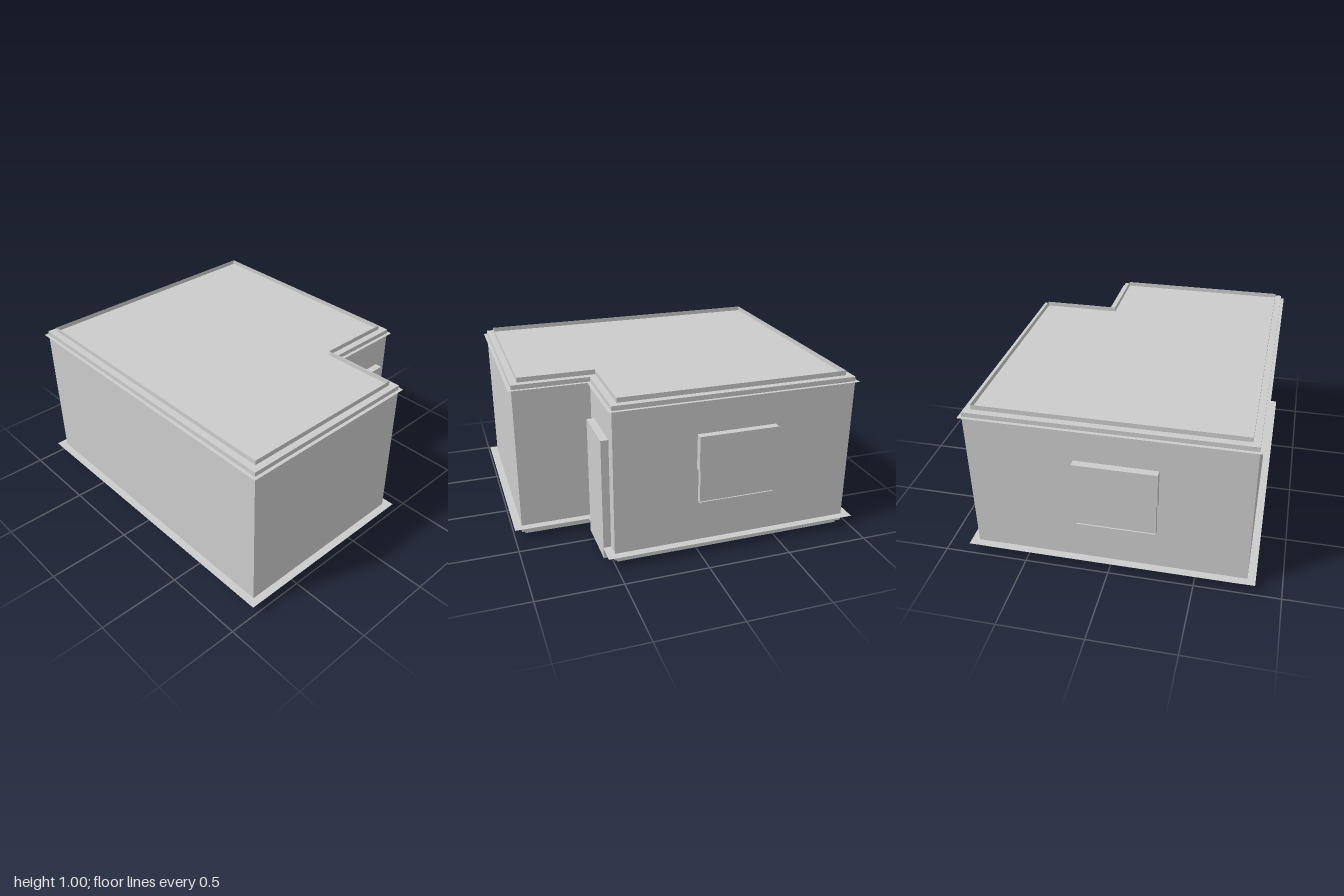
import * as THREE from 'three';

// L-shaped plan as [x, z], starting and ending beside the doorway
const W = 0.8, D = 0.953, NX = 0.33, NZ = 0.5;
const PLAN = [[NX, NZ], [NX, D], [-W, D], [-W, -D], [W, -D], [W, NZ]];
// outward direction of each corner
const OUT = [[1, 1], [1, 1], [-1, 1], [-1, -1], [1, -1], [1, 1]];
const offset = (d) => PLAN.map(([x, z], i) => [x + OUT[i][0] * d, z + OUT[i][1] * d]);

export function createModel() {
  const group = new THREE.Group();
  const plaster = new THREE.MeshStandardMaterial({ color: 0xcccccc });
  plaster.name = 'plaster';
  const plasterThin = plaster;
  plasterThin.side = THREE.DoubleSide;

  const add = (name, geometry, parent = group) => {
    const mesh = new THREE.Mesh(geometry, plaster);
    mesh.name = name;
    parent.add(mesh);
    return mesh;
  };

  // solid slab following the plan between two heights
  const slab = (name, d, y0, y1) => {
    const shape = new THREE.Shape(offset(d).map(([x, z]) => new THREE.Vector2(x, -z)));
    const g = new THREE.ExtrudeGeometry(shape, { depth: y1 - y0, bevelEnabled: false });
    g.rotateX(-Math.PI / 2);
    g.translate(0, y0, 0);
    return add(name, g);
  };

  // open strip joining two outlines
  const strip = (name, a, ya, b, yb, material = plaster) => {
    const pos = [];
    for (let i = 0; i < a.length - 1; i++) {
      const p = [a[i][0], ya, a[i][1]], q = [a[i + 1][0], ya, a[i + 1][1]];
      const r = [b[i + 1][0], yb, b[i + 1][1]], s = [b[i][0], yb, b[i][1]];
      pos.push(...p, ...r, ...q, ...p, ...s, ...r);
    }
    const g = new THREE.BufferGeometry();
    g.setAttribute('position', new THREE.Float32BufferAttribute(pos, 3));
    g.computeVertexNormals();
    const mesh = add(name, g);
    mesh.material = material;
  };
  const closed = (d) => { const o = offset(d); return [...o, o[0]]; };
  // outline broken at the doorway
  const broken = (d) => [[0.4, NZ + d], ...offset(d), [0.72, NZ + d]];

  // walls, foundation and roof edge
  slab('walls', 0, 0.025, 0.972);
  slab('foundation', -0.022, 0, 0.025);
  strip('parapet', closed(-0.04), 0.972, closed(-0.04), 1.0);
  strip('cornice', closed(0), 0.945, closed(0.02), 0.945);
  strip('baseLedge', broken(0), 0.07, broken(0.047), 0.07);

  // door in the recessed corner
  const door = add('door', new THREE.BoxGeometry(0.32, 0.745, 0.046));
  door.position.set(0.56, 0.3725, NZ + 0.022);

  // two-sash window, built facing +z with its back on the wall
  const makeWindow = (name) => {
    const win = new THREE.Group();
    win.name = name;
    const part = (n, w, y0, y1, depth) => {
      add(n, new THREE.BoxGeometry(w, y1 - y0, depth), win)
        .position.set(0, (y0 + y1) / 2, depth / 2);
    };
    part('upperSash', 0.475, 0.535, 0.745, 0.042);
    part('lowerSash', 0.455, 0.335, 0.535, 0.03);
    part('sill', 0.455, 0.325, 0.335, 0.038);
    group.add(win);
    return win;
  };
  const side = makeWindow('sideWindow');
  side.position.set(W, 0, -0.225);
  side.rotation.y = Math.PI / 2;
  const back = makeWindow('backWindow');
  back.position.set(-0.05, 0, -D);
  back.rotation.y = Math.PI;

  return group;
}
